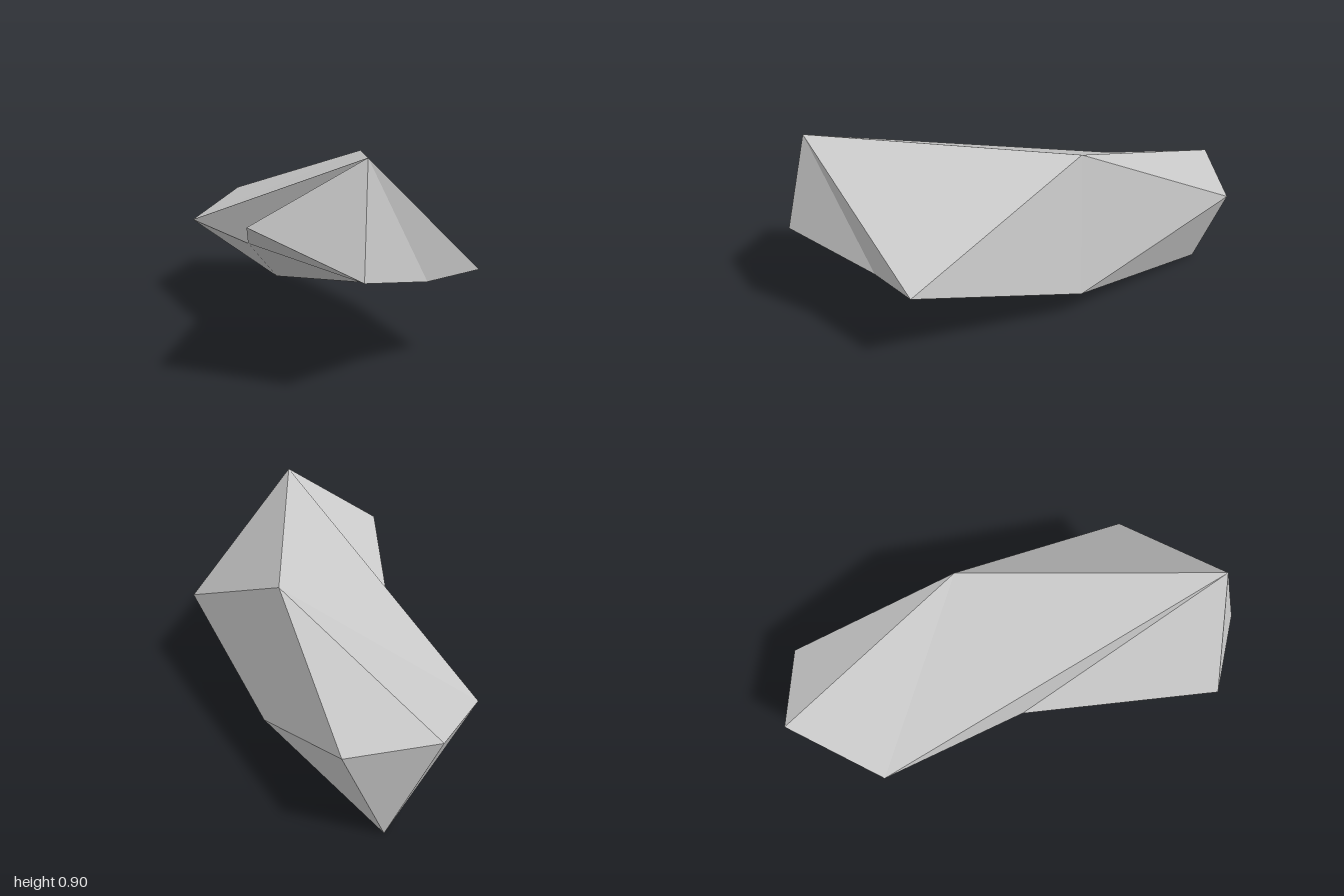
import * as THREE from 'three';

// Faceted rock: twelve corners joined by flat triangles
const corners = {
  A: [-0.075, 0.90, 0.91], // crest
  B: [-0.48, 0.65, 0.78],
  C: [-0.115, 0.475, 1.0], // front tip
  D: [0.23, 0.385, 0.74],
  E: [0.477, 0.397, 0.67],
  F: [0.265, 0.76, -0.15],
  G: [0.34, 0.135, -0.13],
  H: [0.055, 0.0, -0.865], // lowest point
  I: [-0.42, 0.38, -0.64],
  J: [-0.295, 0.40, 0.0], // inner corner of the side notch
  K: [-0.115, 0.46, -1.0], // back tip
  L: [0.24, 0.40, -0.90],
};

const facets = [
  'ABC', 'ACD', 'ADE', 'AEF', // front and crest
  'AFI', 'IFK', 'FLK', // top and back slope
  'FEG', 'FGL', 'LGH', 'LHK', // left side and back
  'IKH', 'IHJ', 'AIJ', 'AJB', // right side and notch
  'JHG', 'JGD', 'EDG', 'JDC', 'JCB', // underside
].join('');

export function createModel() {
  const stone = new THREE.MeshStandardMaterial({ color: 0xc8c8c8, flatShading: true });
  stone.name = 'stone grey';

  const geometry = new THREE.BufferGeometry();
  const positions = [...facets].flatMap((name) => corners[name]);
  geometry.setAttribute('position', new THREE.Float32BufferAttribute(positions, 3));
  geometry.computeVertexNormals();

  const rock = new THREE.Mesh(geometry, stone);
  rock.name = 'rock';

  const group = new THREE.Group();
  group.name = 'facetedRock';
  group.add(rock);
  return group;
}
